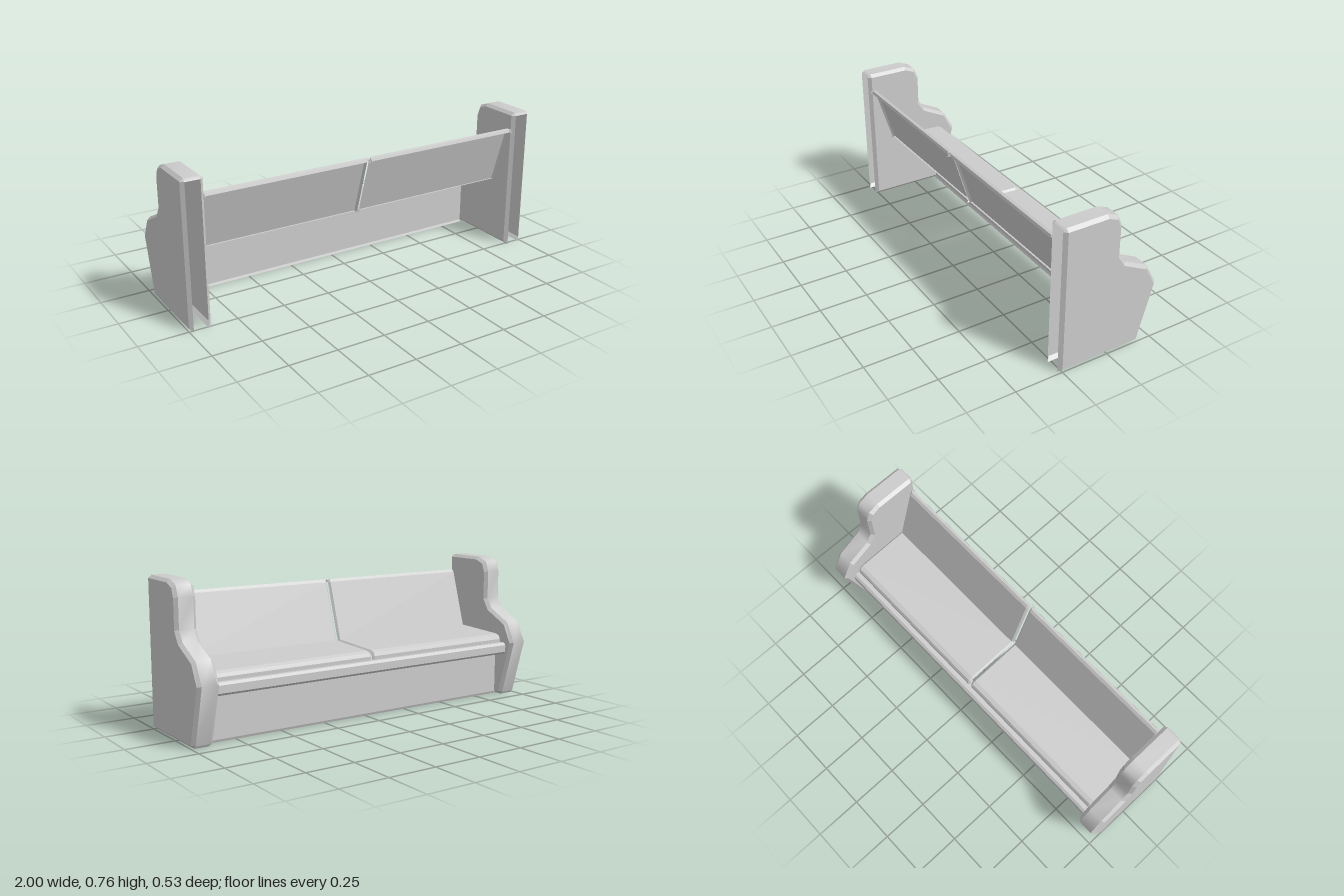
import * as THREE from 'three';

const mat = new THREE.MeshStandardMaterial({ color: 0xcccccc, side: THREE.DoubleSide });

// Skin a row of sections (ordered by rising x); each section is { x, pts: [[z, y], ...] }
function skin(sections, smooth = false) {
  const pos = [], idx = [], n = sections[0].pts.length;
  sections.forEach(s => s.pts.forEach(([z, y]) => pos.push(s.x, y, z)));
  for (let s = 0; s < sections.length - 1; s++) {
    for (let i = 0; i < n - 1; i++) {
      const a = s * n + i, b = a + n;
      idx.push(a, b, b + 1, a, b + 1, a + 1);
    }
  }
  let g = new THREE.BufferGeometry();
  g.setAttribute('position', new THREE.Float32BufferAttribute(pos, 3));
  g.setIndex(idx);
  if (!smooth) g = g.toNonIndexed();
  g.computeVertexNormals();
  return g;
}

function add(parent, name, geometry) {
  const m = new THREE.Mesh(geometry, mat);
  m.name = name;
  parent.add(m);
  return m;
}

// Side panel outlines as [z, y]: the rim, and the inset edge of the flat faces
const rim = [
  [0.267, 0], [0.267, 0.742], [0.25, 0.757], [0.037, 0.757], [-0.02, 0.735], [-0.043, 0.68],
  [-0.043, 0.53], [-0.077, 0.477], [-0.205, 0.413], [-0.264, 0.306], [-0.184, 0.017], [-0.168, 0],
];
const inset = [
  [0.25, 0.017], [0.25, 0.742], [0.25, 0.742], [0.039, 0.742], [-0.01, 0.722], [-0.027, 0.677],
  [-0.027, 0.525], [-0.065, 0.466], [-0.197, 0.4], [-0.247, 0.302], [-0.168, 0.017], [-0.168, 0.017],
];

function face(side) {
  const pts = inset.filter((p, i) => i !== 2 && i !== 11);
  const shape = new THREE.Shape(pts.map(([z, y]) => new THREE.Vector2(-side * z, y)));
  return new THREE.ShapeGeometry(shape).rotateY(side * Math.PI / 2).translate(side * 0.055, 0, 0);
}

// Hollow end panel: two faces, chamfers all round, rim open at the bottom and the back
function sidePanel(name, x) {
  const g = new THREE.Group();
  g.name = name;
  const loop = p => [...p, p[0]];
  add(g, 'rimBand', skin([{ x: -0.038, pts: rim.slice(1) }, { x: 0.038, pts: rim.slice(1) }], true));
  add(g, 'chamferA', skin([{ x: -0.055, pts: loop(inset) }, { x: -0.038, pts: loop(rim) }]));
  add(g, 'chamferB', skin([{ x: 0.038, pts: loop(rim) }, { x: 0.055, pts: loop(inset) }]));
  add(g, 'faceA', face(-1));
  add(g, 'faceB', face(1));
  g.position.x = x;
  return g;
}

// Open cushion shell whose ends are chamfered by sinking the profile by [dz, dy]
function cushion(x0, x1, profile, [dz, dy]) {
  const c = 0.01, sunk = profile.map(([z, y]) => [z + dz, y + dy]);
  return skin([
    { x: x0, pts: sunk }, { x: x0 + c, pts: profile },
    { x: x1 - c, pts: profile }, { x: x1, pts: sunk },
  ]);
}

export function createModel() {
  const bench = new THREE.Group();
  bench.name = 'bench';
  bench.add(sidePanel('leftSidePanel', 0.945), sidePanel('rightSidePanel', -0.945));

  // Front board with an overhanging lip
  const board = [
    [-0.15, 0.3], [-0.203, 0.3], [-0.215, 0.288], [-0.215, 0.25],
    [-0.203, 0.238], [-0.135, 0.222], [-0.135, 0.012], [-0.13, 0],
  ];
  add(bench, 'frontBoard', skin([{ x: -0.915, pts: board }, { x: 0.885, pts: board }]));

  // Two seat cushions and two back cushions with a narrow seam between
  const seat = [[0.142, 0.357], [-0.15, 0.345], [-0.172, 0.335], [-0.18, 0.318], [-0.18, 0.3]];
  const back = [[0.255, 0.652], [0.25, 0.666], [0.236, 0.67], [0.224, 0.656], [0.132, 0.356]];
  [['right', -0.89, -0.011], ['left', -0.003, 0.888]].forEach(([side, x0, x1]) => {
    add(bench, side + 'SeatCushion', cushion(x0, x1, seat, [0.008, -0.01]));
    add(bench, side + 'BackCushion', cushion(x0, x1, back, [0.01, -0.004]));
  });
  return bench;
}
